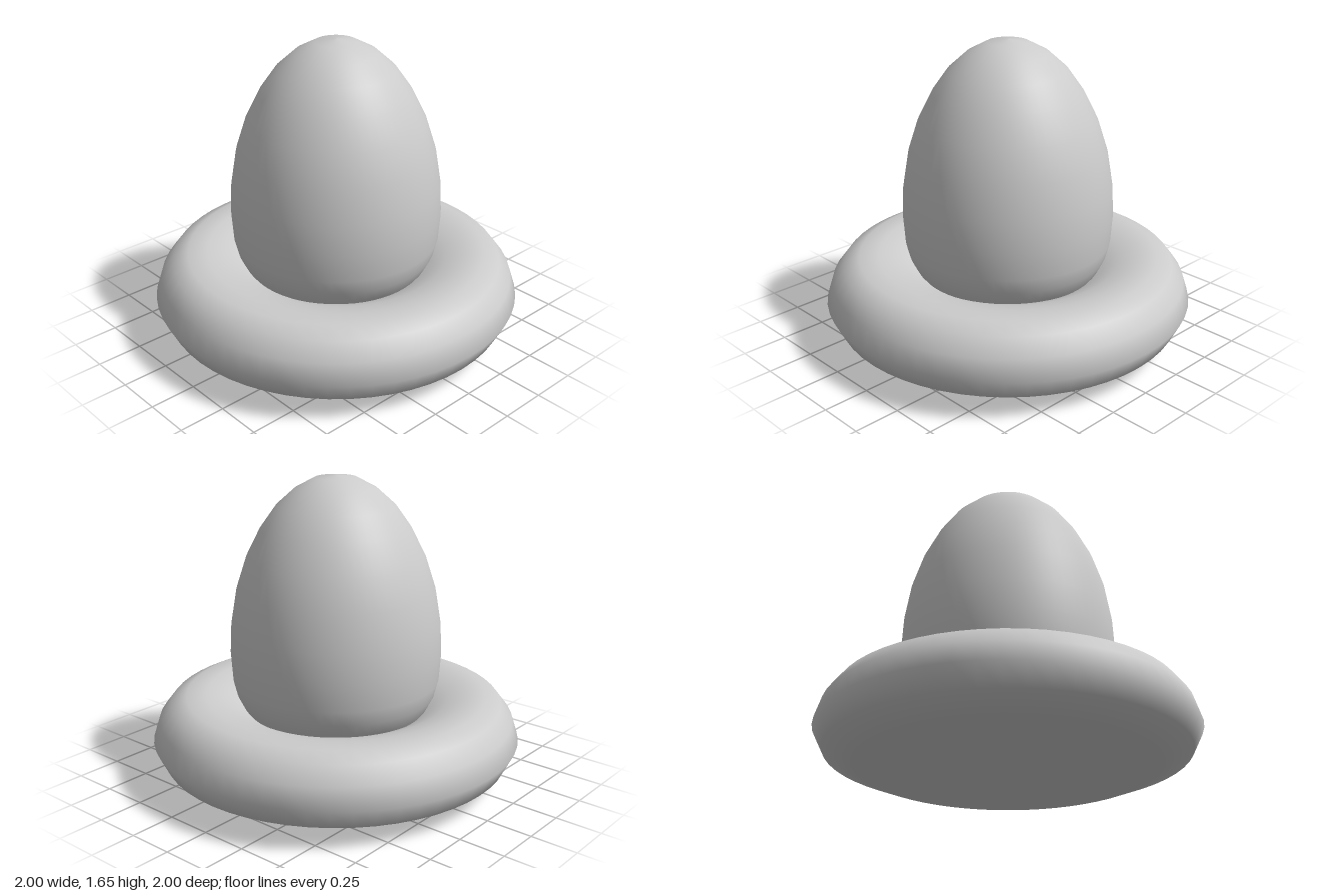
import * as THREE from 'three';

const SEGMENTS = 56;

// Solid of revolution from a [radius, height] profile running bottom to top
function turned(name, profile) {
  const points = profile.map(([r, y]) => new THREE.Vector2(r, y));
  const material = new THREE.MeshStandardMaterial({ color: 0xcccccc });
  const mesh = new THREE.Mesh(new THREE.LatheGeometry(points, SEGMENTS), material);
  mesh.name = name;
  return mesh;
}

export function createModel() {
  const model = new THREE.Group();
  model.name = 'domedKnob';

  // Rounded ring base: shallow conical underside, full rim, dip towards the dome
  model.add(turned('ringBase', [
    [0, 0], [0.4, 0.03], [0.78, 0.055], [0.945, 0.12], [1, 0.23],
    [0.965, 0.34], [0.9, 0.425], [0.815, 0.465], [0.71, 0.464],
    [0.61, 0.44], [0.53, 0.405], [0.46, 0.36],
  ]));

  // Egg-shaped dome, its foot sunk into the ring
  model.add(turned('dome', [
    [0.45, 0.33], [0.505, 0.4], [0.54, 0.47], [0.56, 0.55], [0.57, 0.7],
    [0.562, 0.86], [0.53, 1.05], [0.475, 1.22], [0.4, 1.37],
    [0.315, 1.49], [0.215, 1.58], [0.11, 1.636], [0, 1.65],
  ]));

  return model;
}
